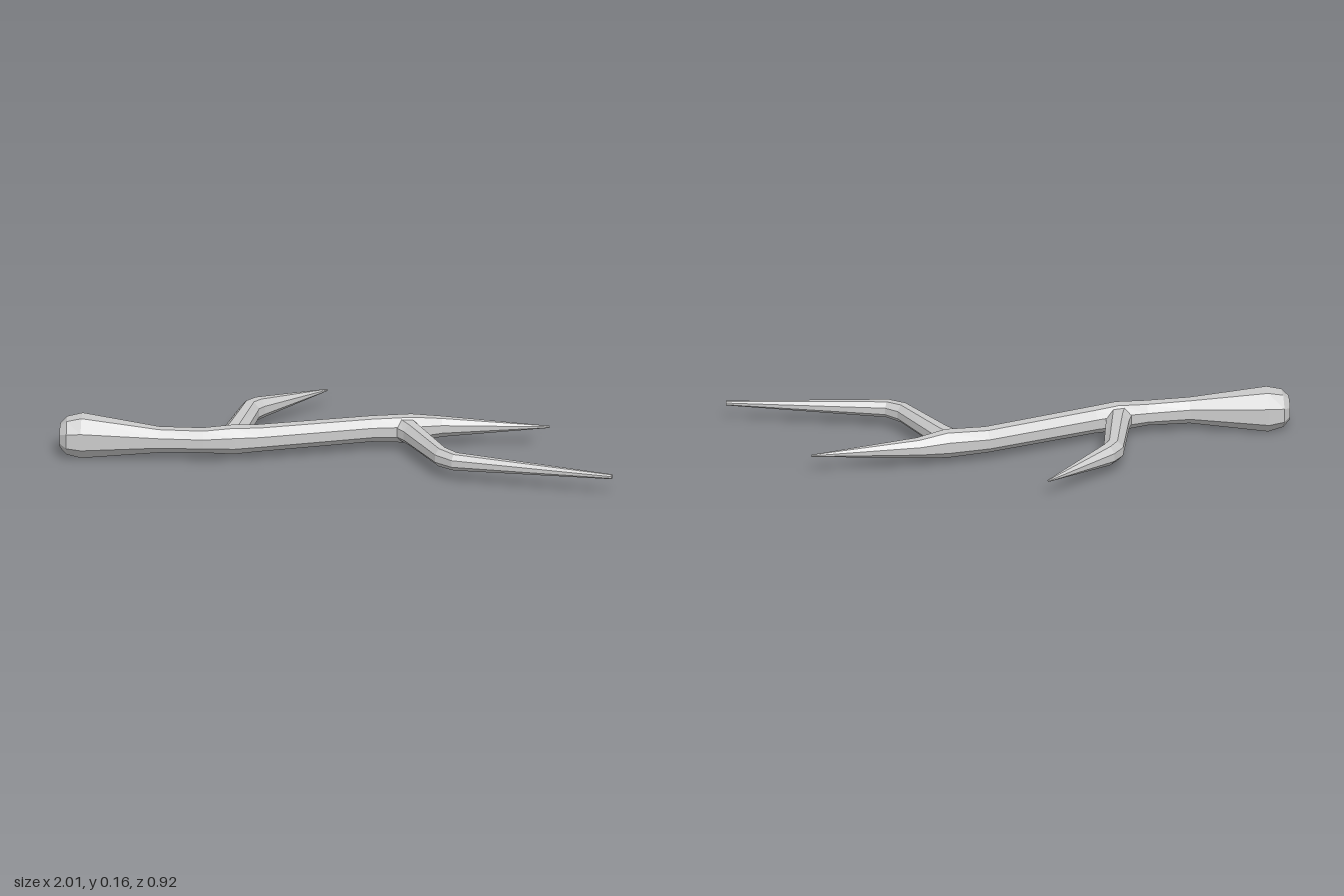
import * as THREE from 'three';

const SIDES = 8;
const AXIS_Y = 0.08;

// Lofts eight-sided rings along a path; each point is [x, z, side radius, vertical radius].
function limb(name, points, material) {
  const up = new THREE.Vector3(0, 1, 0);
  const centres = points.map(([x, z]) => new THREE.Vector3(x, AXIS_Y, z));
  const last = points.length - 1;
  const position = [];
  const index = [];

  centres.forEach((centre, i) => {
    // The ring faces halfway between the neighbouring segments.
    const tangent = new THREE.Vector3();
    if (i > 0) tangent.add(centre.clone().sub(centres[i - 1]).normalize());
    if (i < last) tangent.add(centres[i + 1].clone().sub(centre).normalize());
    const side = up.clone().cross(tangent.normalize());
    const [, , r, ry = r] = points[i];
    for (let j = 0; j < SIDES; j++) {
      const a = ((j + 0.5) / SIDES) * Math.PI * 2;
      const p = centre.clone()
        .addScaledVector(side, Math.cos(a) * r)
        .addScaledVector(up, Math.sin(a) * ry);
      position.push(p.x, p.y, p.z);
    }
  });

  for (let i = 0; i < last; i++) {
    for (let j = 0; j < SIDES; j++) {
      const k = (j + 1) % SIDES;
      const a = i * SIDES + j, b = i * SIDES + k;
      index.push(a, b, b + SIDES, a, b + SIDES, a + SIDES);
    }
  }
  // Flat end caps
  for (let j = 1; j < SIDES - 1; j++) {
    index.push(0, j + 1, j);
    index.push(last * SIDES, last * SIDES + j, last * SIDES + j + 1);
  }

  const geometry = new THREE.BufferGeometry();
  geometry.setAttribute('position', new THREE.Float32BufferAttribute(position, 3));
  geometry.setIndex(index);
  geometry.computeVertexNormals();
  const mesh = new THREE.Mesh(geometry, material);
  mesh.name = name;
  return mesh;
}

export function createModel() {
  const group = new THREE.Group();
  group.name = 'branch';
  const wood = new THREE.MeshStandardMaterial({ color: 0xcccccc, flatShading: true });

  // Main stem with a knobbed butt end
  group.add(limb('mainStem', [
    [-1.0, -0.067, 0.045],
    [-0.975, -0.064, 0.073, 0.07],
    [-0.92, -0.06, 0.08, 0.084],
    [-0.64, -0.004, 0.043, 0.049],
    [-0.48, 0.011, 0.047, 0.046],
    [-0.37, 0.009, 0.049, 0.055],
    [-0.28, 0.0, 0.049, 0.05],
    [0.14, -0.07, 0.047, 0.048],
    [0.29, -0.068, 0.047, 0.054],
    [0.4, -0.08, 0.034, 0.039],
    [0.795, -0.054, 0.004],
  ], wood));

  // Side branch towards the back
  group.add(limb('backTwig', [
    [-0.38, 0.01, 0.055, 0.045],
    [-0.358, -0.055, 0.046, 0.045],
    [-0.292, -0.265, 0.04, 0.043],
    [-0.26, -0.298, 0.038, 0.041],
    [0.0, -0.459, 0.004],
  ], wood));

  // Side branch towards the front
  group.add(limb('frontTwig', [
    [0.26, -0.07, 0.052, 0.047],
    [0.29, -0.01, 0.041, 0.044],
    [0.385, 0.22, 0.033, 0.038],
    [0.432, 0.268, 0.031, 0.034],
    [0.998, 0.448, 0.009],
  ], wood));

  return group;
}
